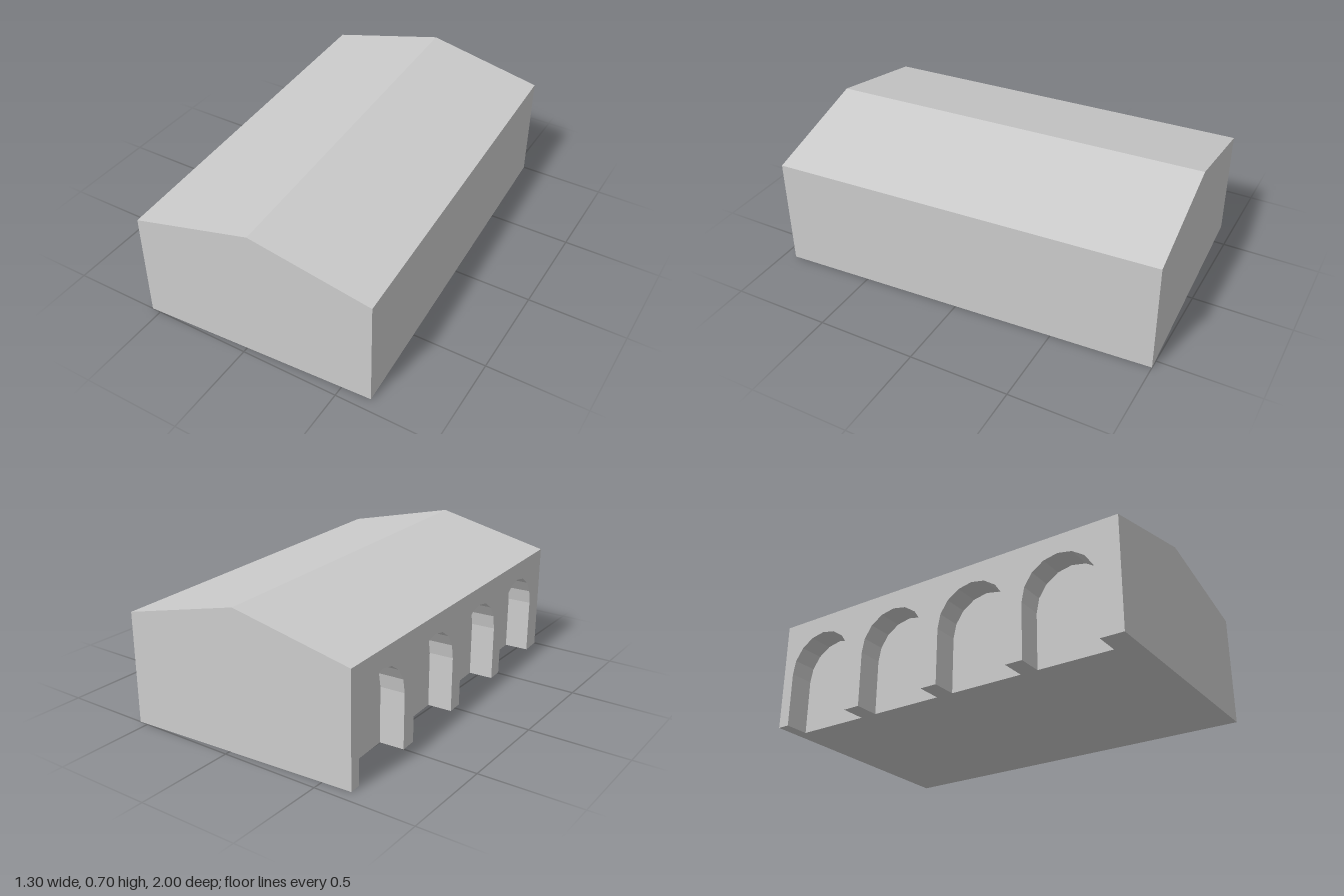
import * as THREE from 'three';
import { mergeGeometries } from 'three/addons/utils/BufferGeometryUtils.js';

const W = 0.5985, L = 0.97;          // half width, half length
const EAVE = 0.56, RIDGE = 0.70;
const DEPTH = 0.125;                 // depth of the arched recesses
const RADIUS = 0.188, SPRING = 0.28; // arch shape
const ARCHES = 4, FIRST = -0.722, PITCH = 0.463;
const BACK = -W + DEPTH;             // plane of the recess back walls

const material = new THREE.MeshStandardMaterial({ color: 0xcccccc, flatShading: true });

// Flat convex panel, corners counter-clockwise seen from outside
function panel(points) {
  const tris = [];
  for (let i = 1; i < points.length - 1; i++) tris.push(...points[0], ...points[i], ...points[i + 1]);
  const geometry = new THREE.BufferGeometry();
  geometry.setAttribute('position', new THREE.Float32BufferAttribute(tris, 3));
  geometry.computeVertexNormals();
  return geometry;
}

// Floor rectangle facing down
const floorPanel = (x0, x1, z0, z1) => panel([[x0, 0, z0], [x1, 0, z0], [x1, 0, z1], [x0, 0, z1]]);

// Outline of one arch as [z, y], foot to foot
function archOutline(centre) {
  const points = [[centre - RADIUS, 0]];
  for (let i = 0; i <= 8; i++) {
    const a = Math.PI * (1 - i / 8);
    points.push([centre + RADIUS * Math.cos(a), SPRING + RADIUS * Math.sin(a)]);
  }
  points.push([centre + RADIUS, 0]);
  return points;
}

export function createModel() {
  const model = new THREE.Group();
  model.name = 'hall';
  const add = (name, geometries) => {
    const mesh = new THREE.Mesh(mergeGeometries(geometries), material);
    mesh.name = name;
    model.add(mesh);
  };

  // Gable ends
  const gable = [[-W, 0], [W, 0], [W, EAVE], [0, RIDGE], [-W, EAVE]];
  add('frontGable', [panel(gable.map(([x, y]) => [x, y, L]))]);
  add('backGable', [panel(gable.map(([x, y]) => [x, y, -L]).reverse())]);

  // Plain side wall and both roof slopes
  const strip = ([x0, y0], [x1, y1]) => panel([[x0, y0, L], [x0, y0, -L], [x1, y1, -L], [x1, y1, L]]);
  add('plainWall', [strip(gable[1], gable[2])]);
  add('roof', [strip(gable[2], gable[3]), strip(gable[3], gable[4])]);

  // Arcade wall face, its lower edge stepping over each arch
  const arches = Array.from({ length: ARCHES }, (_, i) => archOutline(FIRST + i * PITCH));
  const outline = [[-L, 0], ...arches.flat(), [L, 0], [L, EAVE], [-L, EAVE]];
  const face = new THREE.ShapeGeometry(new THREE.Shape(outline.map(([z, y]) => new THREE.Vector2(z, y))));
  face.rotateY(-Math.PI / 2).translate(-W, 0, 0);
  add('arcadeWall', [face]);

  // Recess behind each arch: jambs, vault and back wall
  arches.forEach((arch, n) => {
    const parts = [panel(arch.map(([z, y]) => [BACK, y, z]).reverse())];
    for (let i = 0; i < arch.length - 1; i++) {
      const [z0, y0] = arch[i], [z1, y1] = arch[i + 1];
      parts.push(panel([[-W, y0, z0], [BACK, y0, z0], [BACK, y1, z1], [-W, y1, z1]]));
    }
    add('archRecess' + (n + 1), parts);
  });

  // Underside: hall floor plus the feet of the piers
  const floor = [floorPanel(BACK, W, -L, L)];
  for (let i = 0; i <= ARCHES; i++) {
    const z0 = i === 0 ? -L : FIRST + (i - 1) * PITCH + RADIUS;
    const z1 = i === ARCHES ? L : FIRST + i * PITCH - RADIUS;
    floor.push(floorPanel(-W, BACK, z0, z1));
  }
  add('floor', floor);

  // The whole building stands slightly turned
  model.rotation.y = 0.0516;
  return model;
}
